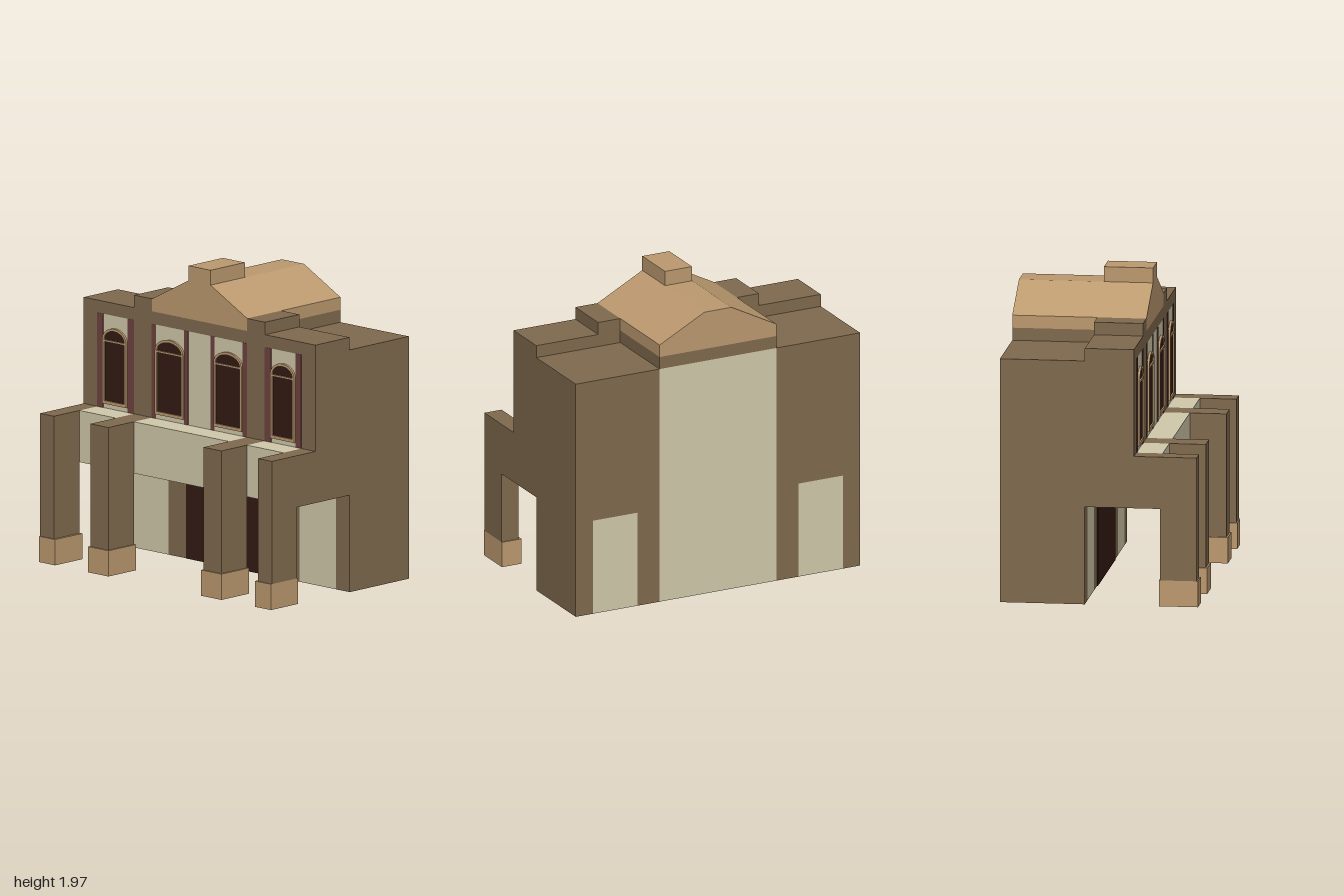
import * as THREE from 'three';

const mat = (color) => new THREE.MeshStandardMaterial({ color, flatShading: true });
const BROWN = mat(0x806a4e), TAN = mat(0xbd9a70), CREAM = mat(0xd1caab);
const DARK = mat(0x351b13), PURPLE = mat(0x6e423e);

// Main depth and height levels
const BACK = -0.625, DOOR_Z = -0.09, WALL_Z = 0.22, PORCH_Z = 0.385, LEG_Z = 0.615;
const PORCH_Y = 0.62, LEDGE_Y = 0.95, EAVE_Y = 1.55, PARAPET_Y = 1.63, PIER_Y = 1.71;
const BASE_Y = 0.165;

export function createModel() {
  const model = new THREE.Group();
  model.name = 'building';

  const add = (name, geometry, material, parent = model) => {
    const mesh = new THREE.Mesh(geometry, material);
    mesh.name = name;
    parent.add(mesh);
    return mesh;
  };
  // Box given by its two limits on each axis
  const box = (name, material, x0, x1, y0, y1, z0, z1, parent) => {
    const g = new THREE.BoxGeometry(x1 - x0, y1 - y0, z1 - z0);
    g.translate((x0 + x1) / 2, (y0 + y1) / 2, (z0 + z1) / 2);
    return add(name, g, material, parent);
  };
  const polygon = (points) => new THREE.Shape(points.map(([x, y]) => new THREE.Vector2(x, y)));
  const extrude = (shape, depth) =>
    new THREE.ExtrudeGeometry(shape, { depth, bevelEnabled: false, curveSegments: 12 });

  // Pier slice: side profile of wall, porch arm and leg, given width in x
  const pier = (name, x0, x1, top) => {
    const profile = polygon([
      [BACK, 0], [DOOR_Z, 0], [DOOR_Z, PORCH_Y], [PORCH_Z, PORCH_Y], [PORCH_Z, BASE_Y],
      [LEG_Z, BASE_Y], [LEG_Z, LEDGE_Y], [WALL_Z, LEDGE_Y], [WALL_Z, top],
      [DOOR_Z, top], [DOOR_Z, EAVE_Y], [BACK, EAVE_Y],
    ]);
    const g = extrude(profile, x1 - x0);
    g.rotateY(-Math.PI / 2);
    g.translate(x1, 0, 0);
    add(name, g, BROWN);
  };

  // Outline of an arched opening: straight sides, half-ellipse on top
  const arch = (Type, half, y0, spring, peak) => {
    const s = new Type();
    s.moveTo(-half, y0);
    s.lineTo(half, y0);
    s.lineTo(half, spring);
    s.absellipse(0, spring, half, peak - spring, 0, Math.PI, false, 0);
    s.lineTo(-half, y0);
    return s;
  };
  const archedWindow = (x, half) => {
    const w = new THREE.Group();
    w.name = 'archedWindow';
    w.position.set(x, 0, WALL_Z);
    const frame = arch(THREE.Shape, half, 0.98, 1.39, 1.47);
    const inner = half - 0.017;
    const pane = new THREE.Path();
    pane.moveTo(-inner, 1.0);
    pane.lineTo(inner, 1.0);
    pane.lineTo(inner, 1.378);
    pane.lineTo(-inner, 1.378);
    pane.closePath();
    frame.holes.push(pane, arch(THREE.Path, inner, 1.39, 1.393, 1.453));
    add('windowFrame', extrude(frame, 0.014), TAN, w);
    add('windowGlass', extrude(arch(THREE.Shape, half - 0.008, 0.99, 1.39, 1.46), 0.005), DARK, w);
    model.add(w);
  };

  // Centre bay
  box('centreWall', CREAM, -0.41, 0.41, 0, PORCH_Y, BACK, DOOR_Z);
  box('centrePorch', CREAM, -0.41, 0.41, PORCH_Y, LEDGE_Y, BACK, PORCH_Z);
  box('centreUpperWall', CREAM, -0.41, 0.41, LEDGE_Y, EAVE_Y, BACK, WALL_Z);
  box('centreCornice', BROWN, -0.41, 0.41, EAVE_Y, PARAPET_Y, BACK, WALL_Z);
  box('mainDoor', DARK, -0.41, 0.41, 0, PORCH_Y, DOOR_Z - 0.01, DOOR_Z + 0.005);

  // Gabled roof with a flat ridge and a raised block at the front
  const roof = extrude(polygon([
    [-0.41, PARAPET_Y], [0.41, PARAPET_Y], [0.41, PIER_Y],
    [0.095, 1.875], [-0.095, 1.875], [-0.41, PIER_Y],
  ]), WALL_Z - BACK);
  roof.translate(0, 0, BACK);
  add('gableRoof', roof, TAN);
  box('ridgeBlock', TAN, -0.095, 0.095, 1.875, 1.97, DOOR_Z, WALL_Z);

  for (const s of [-1, 1]) {
    // Orders the mirrored limits of a span in x
    const span = (a, b) => (s > 0 ? [a, b] : [-b, -a]);
    const side = span(0.565, 0.88);

    // Piers and their feet
    pier('innerPier', ...span(0.41, 0.565), PIER_Y);
    pier('outerPier', ...span(0.88, 1), PARAPET_Y);
    box('innerPierBase', TAN, ...span(0.4, 0.575), 0, BASE_Y, 0.375, 0.625);
    box('outerPierBase', TAN, ...span(0.862, 1), 0, BASE_Y, 0.377, 0.623);

    // Side bay between the piers
    box('sideLowerWall', CREAM, ...side, 0, PORCH_Y, BACK, DOOR_Z);
    box('sidePorch', CREAM, ...side, PORCH_Y, LEDGE_Y, DOOR_Z, PORCH_Z);
    box('sideUpperWall', CREAM, ...side, LEDGE_Y, EAVE_Y, DOOR_Z, WALL_Z);
    box('sideRearWall', BROWN, ...side, PORCH_Y, EAVE_Y, BACK, DOOR_Z);
    box('sideCornice', BROWN, ...side, EAVE_Y, PARAPET_Y, DOOR_Z, WALL_Z);

    // Coloured strips either side of each window
    for (const [a, b] of [[0.095, 0.13], [0.375, 0.41], [0.565, 0.62], [0.83, 0.88]]) {
      box('wallStrip', PURPLE, ...span(a, b), LEDGE_Y, EAVE_Y, WALL_Z - 0.01, WALL_Z + 0.003);
    }
    archedWindow(s * 0.2525, 0.121);
    archedWindow(s * 0.725, 0.103);
  }
  return model;
}
